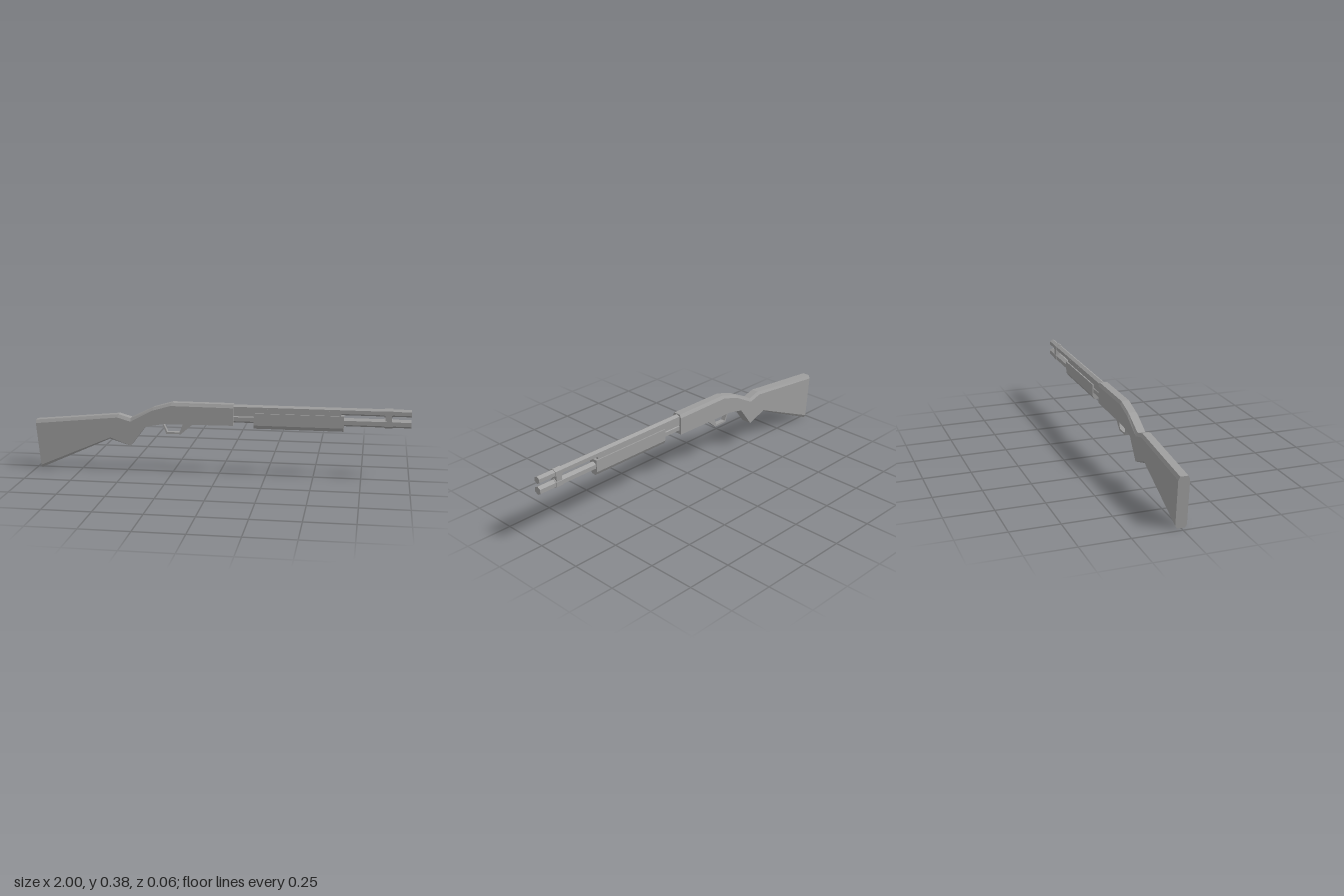
import * as THREE from 'three';

const material = new THREE.MeshStandardMaterial({ color: 0x9c9c9c, flatShading: true });

function part(name, geometry, parent) {
  const mesh = new THREE.Mesh(geometry, material);
  mesh.name = name;
  parent.add(mesh);
  return mesh;
}

// Hexagonal rod along x with a corner pointing up
function hexRod(x0, x1, y, r) {
  return new THREE.CylinderGeometry(r, r, x1 - x0, 6)
    .rotateY(Math.PI / 2).rotateZ(-Math.PI / 2)
    .translate((x0 + x1) / 2, y, 0);
}

function polygon(points) {
  return new THREE.Shape(points.map(([x, y]) => new THREE.Vector2(x, y)));
}

// Cross-section (z, y), symmetric in z, drawn out along x
function prismX(half, x0, x1) {
  const points = [...half, ...half.map(([z, y]) => [-z, y]).reverse()];
  return new THREE.ExtrudeGeometry(polygon(points), { depth: x1 - x0, bevelEnabled: false })
    .rotateY(Math.PI / 2).translate(x0, 0, 0);
}

function box(x0, x1, y0, y1, depth) {
  return new THREE.BoxGeometry(x1 - x0, y1 - y0, depth)
    .translate((x0 + x1) / 2, (y0 + y1) / 2, 0);
}

// Loft of chamfered slices; each station is [topX, topY, bottomX, bottomY, bottomChamfer]
function loftBody(stations) {
  const w = 0.029, inset = 0.009, topChamfer = 0.018;
  const positions = [], index = [], n = 8;
  for (const [tx, ty, bx, by, chamfer] of stations) {
    const top = new THREE.Vector3(tx, ty, 0), bottom = new THREE.Vector3(bx, by, 0);
    const length = top.distanceTo(bottom);
    const lower = chamfer / length, upper = 1 - topChamfer / length;
    const wb = chamfer > 0 ? w - inset : w;
    const half = [[wb, 0], [w, lower], [w, upper], [w - inset, 1]];
    const ring = [...half.map(([z, t]) => [-z, t]), ...half.slice().reverse()];
    for (const [z, t] of ring) {
      const p = bottom.clone().lerp(top, t);
      positions.push(p.x, p.y, z);
    }
  }
  for (let s = 0; s < stations.length - 1; s++) {
    for (let i = 0; i < n; i++) {
      const a = s * n + i, b = s * n + (i + 1) % n;
      index.push(a, b, b + n, a, b + n, a + n);
    }
  }
  // End caps
  const last = (stations.length - 1) * n;
  for (let i = 1; i < n - 1; i++) {
    index.push(0, i + 1, i, last, last + i, last + i + 1);
  }
  const geometry = new THREE.BufferGeometry();
  geometry.setAttribute('position', new THREE.Float32BufferAttribute(positions, 3));
  geometry.setIndex(index);
  const flat = geometry.toNonIndexed();
  flat.computeVertexNormals();
  return flat;
}

export function createModel() {
  const model = new THREE.Group();
  model.name = 'longGun';

  // Butt, grip and receiver in one chamfered body
  part('stockAndReceiver', loftBody([
    [-1, 0.265, -0.975, 0, 0.015],
    [-0.54, 0.31, -0.59, 0.174, 0.009],
    [-0.475, 0.291, -0.475, 0.141, 0],
    [-0.35, 0.353, -0.395, 0.247, 0],
    [-0.25, 0.382, -0.3, 0.266, 0],
    [0.077, 0.382, 0.077, 0.27, 0],
  ]), model);

  // Trigger guard with a solid front wedge
  const guardShape = polygon([
    [-0.31, 0.275], [-0.284, 0.21], [-0.205, 0.21], [-0.13, 0.275],
  ]);
  guardShape.holes.push(new THREE.Path([
    [-0.3, 0.268], [-0.193, 0.268], [-0.212, 0.22], [-0.278, 0.22],
  ].map(([x, y]) => new THREE.Vector2(x, y))));
  part('triggerGuard', new THREE.ExtrudeGeometry(guardShape, { depth: 0.026, bevelEnabled: false })
    .translate(0, 0, -0.013), model);

  // Barrel above, magazine tube below
  part('barrel', hexRod(0.06, 1, 0.36, 0.0195), model);
  part('magazineTube', hexRod(0.06, 1, 0.304, 0.022), model);
  part('barrelBridge', box(0.06, 0.64, 0.32, 0.36, 0.034), model);

  // Sliding fore-end, flat on top and bevelled below
  part('foreEnd', prismX([
    [0.013, 0.255], [0.024, 0.274], [0.024, 0.338],
  ], 0.185, 0.655), model);

  // Clamp joining the two tubes near the muzzle
  const clamp = new THREE.Group();
  clamp.name = 'clamp';
  model.add(clamp);
  part('upperCollar', hexRod(0.862, 0.905, 0.36, 0.0235), clamp);
  part('lowerCollar', hexRod(0.862, 0.905, 0.304, 0.0255), clamp);
  part('clampWeb', box(0.867, 0.9, 0.3, 0.365, 0.04), clamp);

  return model;
}
